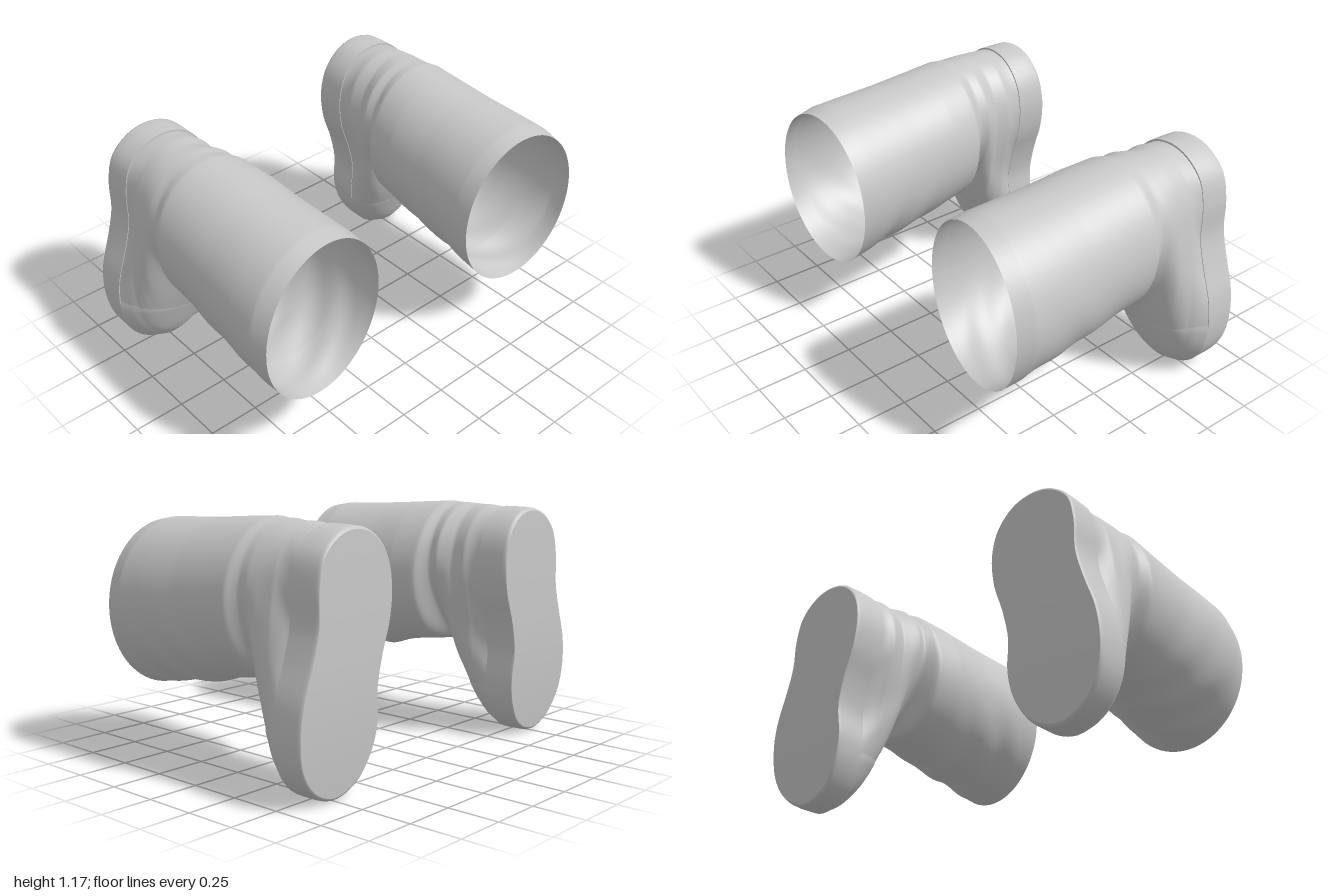
import * as THREE from 'three';

const { lerp, smoothstep, clamp } = THREE.MathUtils;
const plainGrey = new THREE.MeshStandardMaterial({ color: 0xc8c8c8, side: THREE.DoubleSide });
plainGrey.name = 'plain grey';

// Sole outline (x, y) of the left boot: heel top, outer edge, toe, inner edge
const outline = new THREE.CatmullRomCurve3([
  [0.66, 1.155], [0.76, 1.13], [0.85, 1.05], [0.885, 0.92], [0.89, 0.76],
  [0.93, 0.61], [0.98, 0.46], [0.995, 0.31], [0.97, 0.17], [0.89, 0.06],
  [0.76, 0.005], [0.62, 0.055], [0.54, 0.17], [0.51, 0.3], [0.52, 0.45],
  [0.49, 0.6], [0.44, 0.75], [0.425, 0.91], [0.46, 1.04], [0.55, 1.13],
].map(([x, y]) => new THREE.Vector3(x, y, 0)), true);

// Leg sections: z, inner x, outer x, bottom y, top y
const sections = [
  [-0.48, 0.405, 0.915, 0.45, 1.16], [-0.40, 0.38, 0.92, 0.45, 1.16],
  [-0.32, 0.40, 0.925, 0.45, 1.16], [-0.25, 0.355, 0.935, 0.45, 1.165],
  [-0.20, 0.37, 0.93, 0.445, 1.165], [-0.15, 0.335, 0.95, 0.45, 1.17],
  [0, 0.315, 0.953, 0.43, 1.16], [0.2, 0.305, 0.96, 0.385, 1.145],
  [0.4, 0.29, 0.97, 0.365, 1.135], [0.55, 0.28, 0.973, 0.335, 1.13],
  [0.64, 0.28, 0.955, 0.315, 1.115],
];
// How far the foot outline has turned into the leg section: z, amount
const instep = [[-0.48, 0], [-0.42, 0.09], [-0.38, 0.2], [-0.35, 0.33],
  [-0.3, 0.6], [-0.25, 0.86], [-0.2, 1], [0.64, 1]];

function sample(table, z) {
  let i = 0;
  while (i < table.length - 2 && z > table[i + 1][0]) i++;
  const f = clamp((z - table[i][0]) / (table[i + 1][0] - table[i][0]), 0, 1);
  return table[i].map((a, k) => lerp(a, table[i + 1][k], f));
}

// Point of the boot skin at turn u (0 = top, 0.5 = underside) and depth z;
// fit scales the foot outline so the fabric sits inside the rubber
function skin(u, z, fit) {
  const [, x0, x1, y0, y1] = sample(sections, z);
  const a = u * Math.PI * 2;
  const low = (1 - Math.cos(a)) / 2;
  const blend = lerp(Math.min(1, (z + 0.48) / 0.09), sample(instep, z)[1], low);
  const foot = outline.getPoint(u % 1);
  const cx = (x0 + x1) / 2, cy = (y0 + y1) / 2;
  // soft folds around the ankle and under the leg
  const ankle = smoothstep(z, -0.46, -0.32) * (1 - smoothstep(z, -0.24, -0.14));
  const under = smoothstep(z, -0.1, 0.25) * (1 - smoothstep(z, 0.48, 0.62)) * low ** 3;
  const fold = 1 + 0.008 * ankle * Math.sin(a) ** 2 * Math.sin(28 * (z + 0.19 * Math.cos(a)))
    + 0.02 * under * Math.sin(24 * z + 5 * a);
  // the ankle is pinched to a point in front of the instep
  const pinch = 0.55 * smoothstep(z, -0.32, -0.23) * (1 - smoothstep(z, -0.21, -0.13)) * low ** 2.5;
  const legX = cx + pinch * 0.08 + Math.sin(a) * (x1 - x0) / 2 * fold * (1 - pinch);
  const legY = cy + Math.cos(a) * (y1 - y0) / 2 * fold;
  const x = lerp(lerp(0.7, foot.x, fit), legX, blend);
  const y = lerp(lerp(0.58, foot.y, fit), legY, blend);
  const slant = smoothstep(z, 0.2, 0.64) * 0.055 * (0.955 - x) / 0.675;
  return [x, y, z - slant];
}

// Sole ring at a given inset, curling up towards the toe and a little at the heel
function soleRing(u, z, scale, curl) {
  const p = outline.getPoint(u % 1);
  const x = lerp(0.7, p.x, scale), y = lerp(0.58, p.y, scale);
  const toe = 0.038 * (Math.max(0, 0.6 - y) / 0.6) ** 2;
  const heel = 0.01 * (Math.max(0, y - 0.6) / 0.55) ** 2;
  return [x, y, z + curl * (toe + heel)];
}

// Grid surface from a rule; side -1 builds the mirrored twin
function surface(name, side, nu, nv, closed, rule) {
  const pos = [], idx = [], cols = closed ? nu : nu + 1;
  for (let j = 0; j <= nv; j++) {
    for (let i = 0; i < cols; i++) {
      const [x, y, z] = rule(i / nu, j / nv);
      pos.push(x * side, y, z);
    }
  }
  for (let j = 0; j < nv; j++) {
    for (let i = 0; i < nu; i++) {
      const k = (i + 1) % cols;
      const a = j * cols + i, b = j * cols + k, c = a + cols, d = b + cols;
      if (side > 0) idx.push(a, c, b, b, c, d);
      else idx.push(a, b, c, b, d, c);
    }
  }
  const g = new THREE.BufferGeometry();
  g.setAttribute('position', new THREE.Float32BufferAttribute(pos, 3));
  g.setIndex(idx);
  g.computeVertexNormals();
  const mesh = new THREE.Mesh(g, plainGrey);
  mesh.name = name;
  return mesh;
}

const capFit = 1.004, fabricFit = 0.988;

// Turn at which the skin crosses the toe cap seam, searched from the underside
function seamTurn(z, direction) {
  let lo = 0, hi = 0.3;
  for (let i = 0; i < 24; i++) {
    const mid = (lo + hi) / 2;
    const [x, y] = skin(0.5 + direction * mid, z, capFit);
    if (y < 0.29 + 0.16 * (x - 0.755)) lo = mid; else hi = mid;
  }
  return 0.5 + direction * lo;
}

function boot(side) {
  const group = new THREE.Group();
  group.name = side > 0 ? 'leftBoot' : 'rightBoot';

  // fabric foot and leg, open at the front
  group.add(surface('bootUpper', side, 80, 112, true, (u, v) => skin(u, lerp(-0.48, 0.64, v), fabricFit)));

  // rubber toe cap over the foot, its border turned in to meet the fabric
  group.add(surface('toeCap', side, 40, 17, false, (u, v) => {
    const z = lerp(-0.48, -0.297, Math.min(1, v * 17 / 16));
    const edge = v === 1 || u === 0 || u === 1;
    return skin(lerp(seamTurn(z, -1), seamTurn(z, 1), u), z, edge ? fabricFit : capFit);
  }));

  // sole wall with a rounded lower edge and a narrow ledge against the upper
  const wall = [[-0.64, 0.975], [-0.636, 0.99], [-0.622, 1], [-0.56, 1.004], [-0.48, 1.004]];
  group.add(surface('soleWall', side, 80, wall.length - 1, true, (u, v) => {
    const [z, s] = wall[Math.round(v * (wall.length - 1))];
    return soleRing(u, z, s, z < -0.6 ? 1 : 0);
  }));
  group.add(surface('soleLedge', side, 80, 1, true, (u, v) => soleRing(u, -0.48, lerp(1.004, 0.98, v), 0)));

  // flat tread and the insole seen through the opening
  group.add(surface('soleTread', side, 80, 8, true, (u, v) => soleRing(u, -0.64, lerp(0.001, 0.975, v), 1)));
  group.add(surface('insole', side, 80, 2, true, (u, v) => soleRing(u, -0.476, lerp(0.97, 0.001, v), 0)));
  return group;
}

export function createModel() {
  const model = new THREE.Group();
  model.name = 'pairOfBoots';
  for (const side of [1, -1]) model.add(boot(side));
  return model;
}
